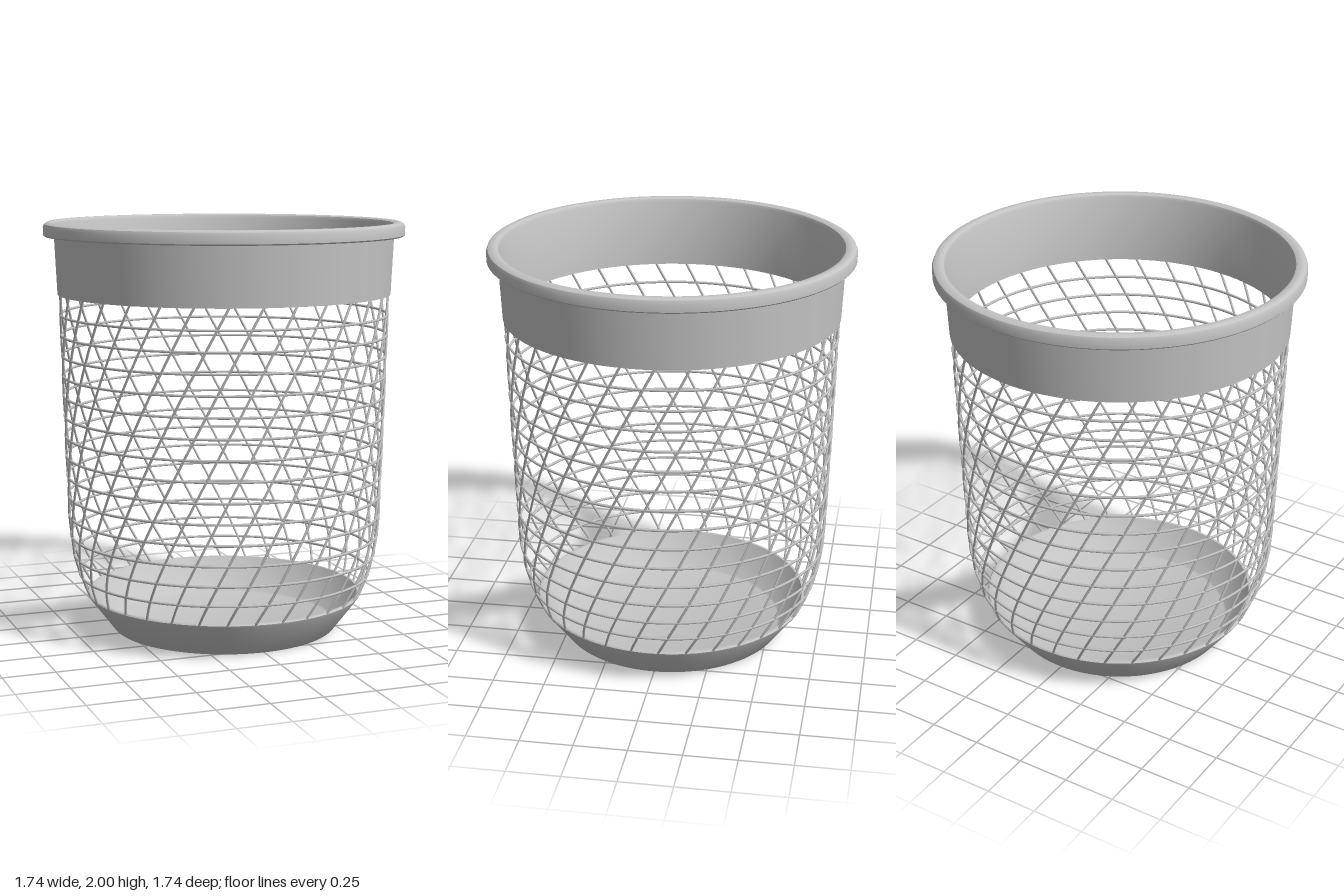
import * as THREE from 'three';
import { toCreasedNormals } from 'three/addons/utils/BufferGeometryUtils.js';

const V2 = (p) => new THREE.Vector2(p[0], p[1]);

// Closed or open profile [radius, height] turned about the y axis
function turned(name, points, material) {
  const lathe = new THREE.LatheGeometry(points.map(V2), 96);
  const mesh = new THREE.Mesh(toCreasedNormals(lathe, 0.6), material);
  mesh.name = name;
  return mesh;
}

// Wall radius of the wire cage by height
const WALL = [[0.17, 0.67], [0.22, 0.693], [0.28, 0.717], [0.375, 0.742], [0.475, 0.757],
  [0.57, 0.763], [0.8, 0.77], [1.0, 0.777], [1.2, 0.783], [1.67, 0.796]];
function wallRadius(y) {
  for (let i = 1; i < WALL.length; i++) {
    const [y0, r0] = WALL[i - 1], [y1, r1] = WALL[i];
    if (y <= y1) return r0 + (r1 - r0) * (y - y0) / (y1 - y0);
  }
  return WALL[WALL.length - 1][1];
}

export function createModel() {
  const model = new THREE.Group();
  model.name = 'wireBasket';
  const grey = new THREE.MeshStandardMaterial({ color: 0xc4c4c4 });
  grey.name = 'light grey';
  grey.side = THREE.DoubleSide;

  // Dished base: flat underside, flared skirt and recessed floor
  model.add(turned('base', [
    [0, 0], [0.545, 0], [0.553, 0.006], [0.674, 0.165], [0.677, 0.174], [0.672, 0.18],
    [0.66, 0.18], [0.552, 0.022], [0.54, 0.016], [0, 0.016],
  ], grey));

  // Upper band with rolled lip
  model.add(turned('bandAndRim', [
    [0.79, 1.655], [0.805, 1.655], [0.818, 1.934], [0.864, 1.934], [0.87, 1.94],
    [0.87, 1.978], [0.864, 1.992], [0.85, 2], [0.828, 2], [0.815, 1.994],
    [0.808, 1.98], [0.79, 1.655],
  ], grey));

  // Horizontal rings
  const bottom = 0.18, step = 0.0983;
  const rings = new THREE.Group();
  rings.name = 'rings';
  for (let i = 1; i <= 14; i++) {
    const y = bottom + i * step;
    const ring = new THREE.Mesh(new THREE.TorusGeometry(wallRadius(y), 0.0065, 6, 96), grey);
    ring.rotation.x = Math.PI / 2;
    ring.position.y = y;
    ring.name = 'ring';
    rings.add(ring);
  }
  model.add(rings);

  // Slanted strands, all winding the same way; each advances one gap every three rings
  const count = 32, gap = 2 * Math.PI / count;
  const path = [];
  for (let i = 0; i <= 30; i++) {
    const y = 0.172 + (1.665 - 0.172) * i / 30;
    const a = gap * (y - bottom - 11 * step) / (3 * step);
    const r = wallRadius(y);
    path.push(new THREE.Vector3(r * Math.sin(a), y, r * Math.cos(a)));
  }
  const strandGeometry = new THREE.TubeGeometry(new THREE.CatmullRomCurve3(path), 44, 0.006, 6);
  const strands = new THREE.Group();
  strands.name = 'strands';
  for (let i = 0; i < count; i++) {
    const strand = new THREE.Mesh(strandGeometry, grey);
    strand.rotation.y = i * gap;
    strand.name = 'strand';
    strands.add(strand);
  }
  model.add(strands);

  return model;
}
